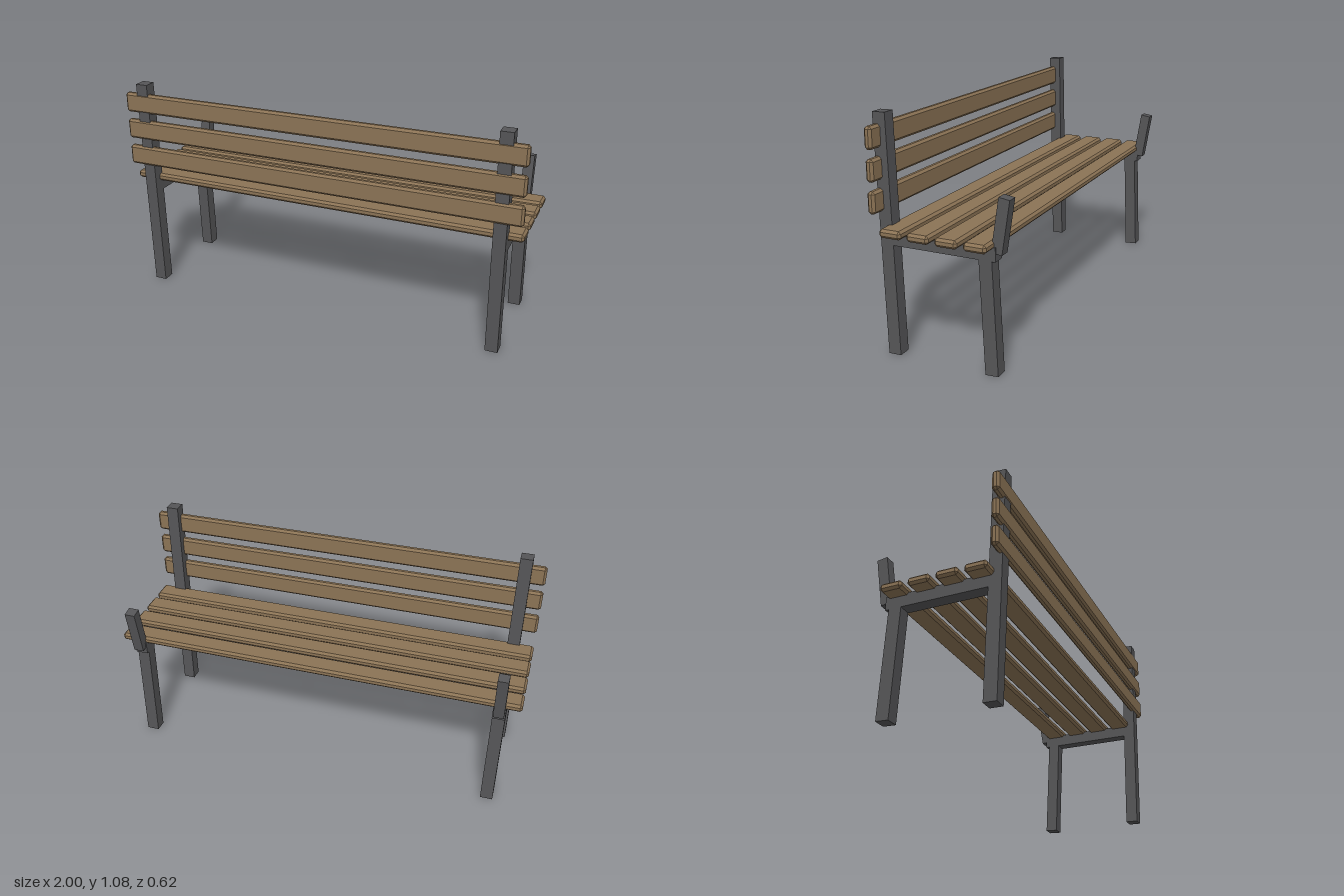
import * as THREE from 'three';
import { ConvexGeometry } from 'three/addons/geometries/ConvexGeometry.js';

const wood = new THREE.MeshStandardMaterial({ color: 0x8b7355 });
wood.name = 'wood';
const metal = new THREE.MeshStandardMaterial({ color: 0x555557 });
metal.name = 'darkMetal';

// Box with every edge and corner chamfered by b
function chamferedBox(w, h, d, b) {
  const points = [];
  const [x, y, z] = [w / 2, h / 2, d / 2];
  for (const sx of [-1, 1]) for (const sy of [-1, 1]) for (const sz of [-1, 1]) {
    points.push(
      new THREE.Vector3(sx * x, sy * (y - b), sz * (z - b)),
      new THREE.Vector3(sx * (x - b), sy * y, sz * (z - b)),
      new THREE.Vector3(sx * (x - b), sy * (y - b), sz * z),
    );
  }
  return new ConvexGeometry(points);
}

// Square-ended bar between two [y, z] points in the side plane
function bar(name, [y0, z0], [y1, z1], width, depth) {
  const length = Math.hypot(y1 - y0, z1 - z0);
  const mesh = new THREE.Mesh(new THREE.BoxGeometry(width, length, depth), metal);
  mesh.name = name;
  mesh.position.set(0, (y0 + y1) / 2, (z0 + z1) / 2);
  mesh.rotation.x = Math.atan2(z1 - z0, y1 - y0);
  return mesh;
}

export function createModel() {
  const bench = new THREE.Group();
  bench.name = 'bench';

  // Seat slats
  const seatGeometry = chamferedBox(2, 0.038, 0.104, 0.011);
  for (let i = 0; i < 4; i++) {
    const slat = new THREE.Mesh(seatGeometry, wood);
    slat.name = 'seatSlat' + (i + 1);
    slat.position.set(0, 0.579, 0.21 - i * 0.1315);
    bench.add(slat);
  }

  // Backrest slats
  const backGeometry = chamferedBox(2, 0.098, 0.036, 0.011);
  for (let i = 0; i < 3; i++) {
    const slat = new THREE.Mesh(backGeometry, wood);
    slat.name = 'backSlat' + (i + 1);
    slat.position.set(0, 0.704 + i * 0.1365, 0.293);
    bench.add(slat);
  }

  // Mirrored end frames
  for (const side of [-1, 1]) {
    const frame = new THREE.Group();
    frame.name = side > 0 ? 'leftFrame' : 'rightFrame';
    frame.position.x = side * 0.9;
    frame.add(
      bar('backPost', [0.001, 0.255], [1.076, 0.28], 0.06, 0.06),
      bar('seatLeg', [0.001, -0.221], [0.54, -0.197], 0.06, 0.06),
      bar('seatRail', [0.539, -0.245], [0.539, 0.26], 0.06, 0.062),
      bar('armPost', [0.542, -0.247], [0.777, -0.284], 0.05, 0.05),
    );
    bench.add(frame);
  }
  return bench;
}
